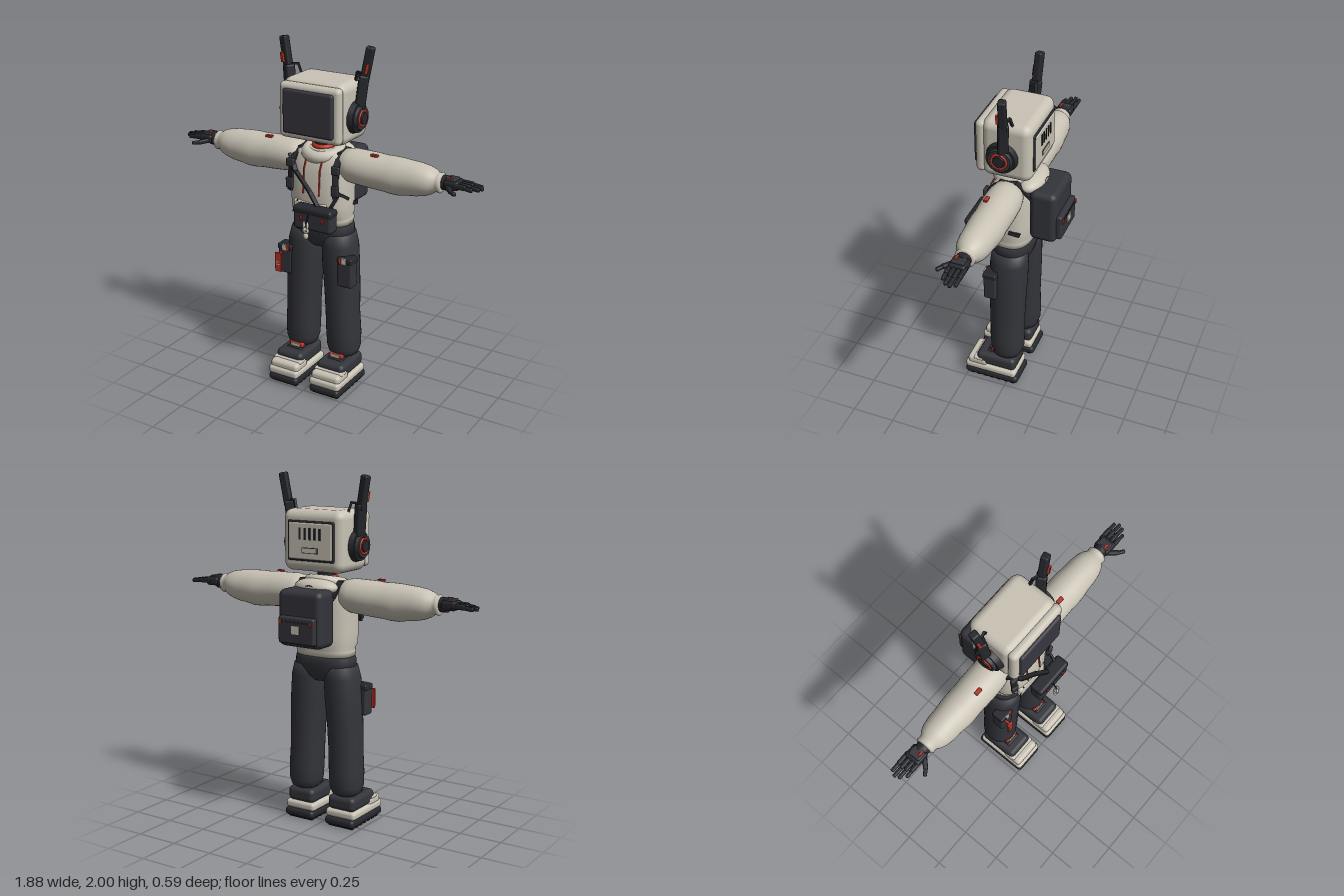
import * as THREE from 'three';
import { RoundedBoxGeometry } from 'three/addons/geometries/RoundedBoxGeometry.js';

const mat = (name, color) => Object.assign(new THREE.MeshStandardMaterial({ color }), { name });

export function createModel() {
  const cream = mat('cream', 0xc9c3b5), dark = mat('charcoal', 0x34353b), black = mat('black', 0x26272c);
  const glass = mat('screen', 0x38363f), red = mat('red', 0xbd3325);
  const model = new THREE.Group();

  const add = (name, geo, m, x = 0, y = 0, z = 0, parent = model) => {
    const mesh = new THREE.Mesh(geo, m);
    mesh.name = name;
    mesh.position.set(x, y, z);
    parent.add(mesh);
    return mesh;
  };
  const box = (name, m, w, h, d, x, y, z, r = 0.01) =>
    add(name, r ? new RoundedBoxGeometry(w, h, d, 3, r) : new THREE.BoxGeometry(w, h, d), m, x, y, z);
  // box stretched between two points, for straps, antennas and fingers
  const bar = (name, m, a, b, w, t, r = 0) => {
    const p = new THREE.Vector3(...a), q = new THREE.Vector3(...b);
    const len = p.distanceTo(q);
    const mesh = box(name, m, w, t, len + t * 0.5, 0, 0, 0, r);
    mesh.position.copy(p).add(q).multiplyScalar(0.5);
    mesh.lookAt(q);
    return mesh;
  };
  const strap = (name, m, pts, w, t) => pts.slice(1).forEach((p, i) => bar(name, m, pts[i], p, w, t));
  // closed skin through rounded rings [y, rx, rz, cx, cz]
  const loft = (rings, power = 1, n = 32) => {
    const pos = [], idx = [];
    const f = v => Math.sign(v) * Math.abs(v) ** power;
    for (const [y, rx, rz, cx = 0, cz = 0] of rings)
      for (let j = 0; j < n; j++) {
        const a = j / n * Math.PI * 2;
        pos.push(cx + rx * f(Math.cos(a)), y, cz + rz * f(Math.sin(a)));
      }
    const last = (rings.length - 1) * n, c0 = rings.length * n;
    for (const r of [rings[0], rings[rings.length - 1]]) pos.push(r[3] || 0, r[0], r[4] || 0);
    for (let j = 0; j < n; j++) {
      const k = (j + 1) % n;
      for (let i = 0; i < last; i += n) idx.push(i + j, i + n + j, i + k, i + k, i + n + j, i + n + k);
      idx.push(c0, j, k, c0 + 1, last + k, last + j);
    }
    const g = new THREE.BufferGeometry();
    g.setAttribute('position', new THREE.Float32BufferAttribute(pos, 3));
    g.setIndex(idx);
    g.computeVertexNormals();
    return g;
  };

  // monitor head
  box('head', cream, 0.39, 0.34, 0.28, 0, 1.64, 0.005, 0.05);
  box('screenBezel', cream, 0.38, 0.31, 0.06, 0, 1.64, 0.148, 0.028);
  box('screen', glass, 0.31, 0.245, 0.03, 0, 1.642, 0.182, 0.014);
  box('backFrame', black, 0.3, 0.22, 0.02, 0, 1.64, -0.133, 0.008);
  box('backPanel', cream, 0.28, 0.2, 0.025, 0, 1.64, -0.136, 0.008);
  for (let i = -2; i <= 2; i++) box('ventSlit', black, 0.012, 0.065, 0.006, i * 0.032, 1.68, -0.149, 0);
  box('backPlateRim', black, 0.1, 0.032, 0.005, 0, 1.59, -0.148, 0);
  box('backPlate', cream, 0.09, 0.024, 0.008, 0, 1.59, -0.149, 0);

  // neck and collar
  add('neck', new THREE.CylinderGeometry(0.052, 0.052, 0.1, 32), black, 0, 1.44, 0.02);
  const ring = add('neckRing', new THREE.TorusGeometry(0.052, 0.014, 10, 32), red, 0, 1.43, 0.02);
  ring.rotation.x = Math.PI / 2;
  const collar = add('hoodCollar', new THREE.TorusGeometry(0.09, 0.035, 14, 40), cream, 0, 1.4, 0.02);
  collar.rotation.x = Math.PI / 2 + 0.2;
  const hood = add('hood', new THREE.SphereGeometry(1, 28, 18), cream, 0, 1.385, -0.085);
  hood.scale.set(0.135, 0.05, 0.075);

  // hoodie body, hem and front pocket
  add('hoodie', loft([[0.985, 0.14, 0.09, 0, 0.015], [0.995, 0.172, 0.11, 0, 0.015], [1.025, 0.174, 0.115, 0, 0.016],
    [1.035, 0.168, 0.112, 0, 0.016], [1.06, 0.177, 0.127, 0, 0.022], [1.12, 0.178, 0.131, 0, 0.025], [1.2, 0.178, 0.13, 0, 0.025],
    [1.3, 0.18, 0.124, 0, 0.02], [1.36, 0.176, 0.11, 0, 0.015], [1.4, 0.15, 0.09, 0, 0.015], [1.425, 0.09, 0.06, 0, 0.015]], 0.75), cream);
  box('frontPocket', cream, 0.21, 0.1, 0.03, -0.01, 1.085, 0.144, 0.013);
  bar('pocketSeam', black, [-0.118, 1.06, 0.156], [-0.085, 1.135, 0.156], 0.005, 0.005);
  for (const x of [-0.05, 0.05])
    strap('drawCord', red, [[x, 1.385, 0.115], [x, 1.32, 0.146], [x, 1.18, 0.157]], 0.007, 0.007);

  // crossbody strap, hip bag and charm
  strap('crossStrap', black, [[-0.165, 1.37, 0.1], [-0.1, 1.3, 0.153], [0, 1.2, 0.17], [0.07, 1.135, 0.2]], 0.024, 0.012);
  strap('crossStrapSide', black, [[0.14, 1.13, 0.19], [0.155, 1.2, 0.12], [0.178, 1.16, 0.06]], 0.012, 0.018);
  bar('sideLoop', black, [0.178, 1.115, -0.01], [0.165, 1.1, -0.06], 0.014, 0.022);
  box('hipBag', dark, 0.24, 0.125, 0.08, 0.063, 1.07, 0.215, 0.02);
  box('hipBagFlap', black, 0.245, 0.045, 0.085, 0.063, 1.118, 0.216, 0.018);
  for (const x of [0, 0.13]) box('bagToggle', red, 0.015, 0.02, 0.012, x, 1.08, 0.258, 0.003);
  bar('charmCord', black, [0.045, 1.1, 0.26], [0.045, 1.06, 0.282], 0.006, 0.006);
  const ball = (name, rx, ry, x, y) =>
    add(name, new THREE.SphereGeometry(1, 16, 12), cream, x, y, 0.284).scale.set(rx, ry, 0.012);
  ball('charmHead', 0.021, 0.018, 0.045, 1.022);
  ball('charmBody', 0.016, 0.02, 0.045, 0.99);
  for (const s of [-1, 1]) {
    ball('charmEar', 0.006, 0.022, 0.045 + s * 0.011, 1.052);
    box('charmEye', black, 0.005, 0.006, 0.003, 0.045 + s * 0.008, 1.024, 0.295, 0);
  }

  // backpack
  box('backpack', dark, 0.28, 0.315, 0.155, 0, 1.228, -0.182, 0.035);
  box('backpackPocket', dark, 0.235, 0.15, 0.05, 0, 1.17, -0.262, 0.014);
  box('pocketZip', black, 0.2, 0.008, 0.008, 0, 1.215, -0.286, 0);
  box('pocketLabel', cream, 0.05, 0.045, 0.008, 0, 1.175, -0.288, 0);
  box('zipPull', red, 0.012, 0.03, 0.014, 0.1, 1.215, -0.289, 0.003);
  box('zipPull', red, 0.012, 0.03, 0.014, -0.1, 1.215, -0.289, 0.003);
  const handle = add('backpackHandle', new THREE.TorusGeometry(0.035, 0.008, 8, 20, Math.PI), black, 0, 1.375, -0.15);
  handle.scale.y = 0.7;

  // trousers waist
  add('waist', loft([[0.85, 0.09, 0.07, 0, 0.015], [0.88, 0.15, 0.095, 0, 0.015], [0.94, 0.182, 0.112, 0, 0.015],
    [0.98, 0.18, 0.112, 0, 0.015], [1.0, 0.168, 0.105, 0, 0.015]], 0.8), dark);

  for (const s of [-1, 1]) {
    // headphone and antenna
    const disc = (name, r, h, m, x) =>
      add(name, new THREE.CylinderGeometry(r * 0.9, r, h, 36), m, s * x, 1.615, 0.02).rotation.z = -s * Math.PI / 2;
    disc('earCup', 0.09, 0.035, black, 0.208);
    disc('earCupOuter', 0.07, 0.022, dark, 0.232);
    disc('earCap', 0.035, 0.012, black, 0.248);
    add('earRing', new THREE.TorusGeometry(0.041, 0.007, 8, 36), red, s * 0.243, 1.615, 0.02).rotation.y = Math.PI / 2;
    bar('antennaBase', black, [s * 0.217, 1.67, 0.008], [s * 0.234, 1.83, -0.002], 0.056, 0.055, 0.012);
    bar('antennaTip', black, [s * 0.237, 1.82, -0.004], [s * 0.267, 1.985, -0.01], 0.042, 0.046, 0.01);
    bar('antennaMark', red, [s * 0.258, 1.86, 0.018], [s * 0.267, 1.905, 0.016], 0.016, 0.016);
    strap('antennaBracket', black, [[s * 0.225, 1.845, -0.01], [s * 0.185, 1.85, -0.02], [s * 0.165, 1.78, -0.03]], 0.014, 0.012);

    // shoulder strap and buckles
    strap('shoulderStrap', black, [[s * 0.12, 1.33, -0.12], [s * 0.125, 1.415, -0.03], [s * 0.13, 1.405, 0.06],
      [s * 0.14, 1.34, 0.13], [s * 0.145, 1.18, 0.14]], 0.035, 0.014);
    box('strapBuckle', dark, 0.05, 0.045, 0.022, s * 0.143, 1.335, 0.136, 0.006);
    box('strapBuckle', dark, 0.044, 0.06, 0.02, s * 0.145, 1.22, 0.143, 0.006);

    // puffy sleeve and ribbed cuff
    const arm = [[0.12, 0.06, 0.065, 1.345], [0.14, 0.085, 0.09, 1.342], [0.19, 0.096, 0.1, 1.34], [0.26, 0.098, 0.102, 1.337],
      [0.33, 0.1, 0.1, 1.334], [0.38, 0.099, 0.098, 1.331], [0.43, 0.103, 0.1, 1.329], [0.48, 0.103, 0.098, 1.328],
      [0.53, 0.096, 0.092, 1.331], [0.58, 0.092, 0.09, 1.332], [0.63, 0.082, 0.083, 1.334], [0.665, 0.068, 0.07, 1.336],
      [0.685, 0.054, 0.055, 1.337], [0.7, 0.053, 0.053, 1.337], [0.712, 0.056, 0.056, 1.337], [0.722, 0.046, 0.046, 1.337]];
    const sleeve = add('sleeve', loft(arm.map(([l, a, b, y]) => [l, a, b, -s * y, 0.013])), cream);
    sleeve.rotation.z = -s * Math.PI / 2;
    box('sleeveTab', red, 0.042, 0.014, 0.022, s * 0.335, 1.432, 0.053, 0.004);

    // hand
    add('wrist', new THREE.CylinderGeometry(0.04, 0.04, 0.05, 24), black, s * 0.735, 1.342, 0.013).rotation.z = Math.PI / 2;
    box('palm', black, 0.085, 0.05, 0.095, s * 0.78, 1.344, 0.013, 0.016);
    box('handPlate', dark, 0.055, 0.016, 0.07, s * 0.775, 1.37, 0.015, 0.006);
    box('handMark', red, 0.035, 0.01, 0.014, s * 0.763, 1.377, 0.033, 0.003);
    [0.9, 0.93, 0.94, 0.925].forEach((tip, i) => {
      const z = 0.05 - i * 0.026, mid = (0.815 + tip) / 2;
      bar('finger', black, [s * 0.8, 1.347, z], [s * mid, 1.345, z], 0.022, 0.028, 0.008);
      bar('fingertip', black, [s * mid, 1.343, z], [s * (tip - 0.005), 1.338, z], 0.019, 0.022, 0.007);
    });
    bar('thumb', black, [s * 0.76, 1.335, 0.05], [s * 0.8, 1.328, 0.092], 0.026, 0.026, 0.009);
    bar('thumbTip', black, [s * 0.795, 1.328, 0.09], [s * 0.83, 1.325, 0.113], 0.021, 0.021, 0.008);

    // trouser leg
    add('trouserLeg', loft([[0.185, 0.06, 0.06, s * 0.138, 0.02], [0.2, 0.083, 0.083, s * 0.138, 0.02], [0.24, 0.095, 0.096, s * 0.138, 0.02],
      [0.32, 0.098, 0.1, s * 0.136, 0.021], [0.45, 0.095, 0.1, s * 0.13, 0.023], [0.6, 0.098, 0.104, s * 0.125, 0.022],
      [0.75, 0.102, 0.108, s * 0.115, 0.02], [0.87, 0.1, 0.108, s * 0.108, 0.018], [0.94, 0.09, 0.1, s * 0.1, 0.016]], 0.9), dark);

    // thigh pouch
    box('thighPouch', dark, 0.09, 0.175, 0.075, s * 0.195, 0.74, 0.09, 0.012);
    box('pouchFlap', black, 0.096, 0.035, 0.08, s * 0.195, 0.813, 0.091, 0.01);
    box('pouchTab', cream, 0.026, 0.035, 0.008, s * 0.195, 0.812, 0.132, 0);
    box('pouchTabMark', red, 0.014, 0.035, 0.008, s * 0.172, 0.812, 0.132, 0);

    // ankle tab
    box('ankleBand', red, 0.09, 0.028, 0.06, s * 0.134, 0.2, 0.085, 0.008);
    box('ankleTab', cream, 0.056, 0.018, 0.008, s * 0.134, 0.2, 0.116, 0);

    // chunky shoe
    const x = s * 0.138;
    box('shoeSole', black, 0.195, 0.05, 0.335, x, 0.035, 0.095, 0.022);
    for (let i = 0; i < 7; i++) box('soleTread', black, 0.16, 0.016, 0.025, x, 0.008, -0.035 + i * 0.043, 0);
    box('midsole', cream, 0.196, 0.05, 0.32, x, 0.08, 0.101, 0.02);
    box('toeCap', cream, 0.184, 0.055, 0.125, x, 0.115, 0.185, 0.022);
    box('shoeUpper', dark, 0.175, 0.085, 0.245, x, 0.142, 0.07, 0.028);
    box('shoeTongue', black, 0.1, 0.04, 0.1, x, 0.17, 0.085, 0.012);
    box('instepBand', cream, 0.182, 0.022, 0.06, x, 0.138, 0.178, 0.009);
  }

  // red tag hanging before the right pouch
  box('pouchTag', red, 0.042, 0.115, 0.014, -0.213, 0.732, 0.165, 0.004);
  bar('tagLoop', red, [-0.213, 0.78, 0.12], [-0.213, 0.78, 0.165], 0.012, 0.008);
  for (const y of [0.72, 0.735]) box('tagStripe', cream, 0.024, 0.005, 0.004, -0.213, y, 0.172, 0);

  return model;
}
